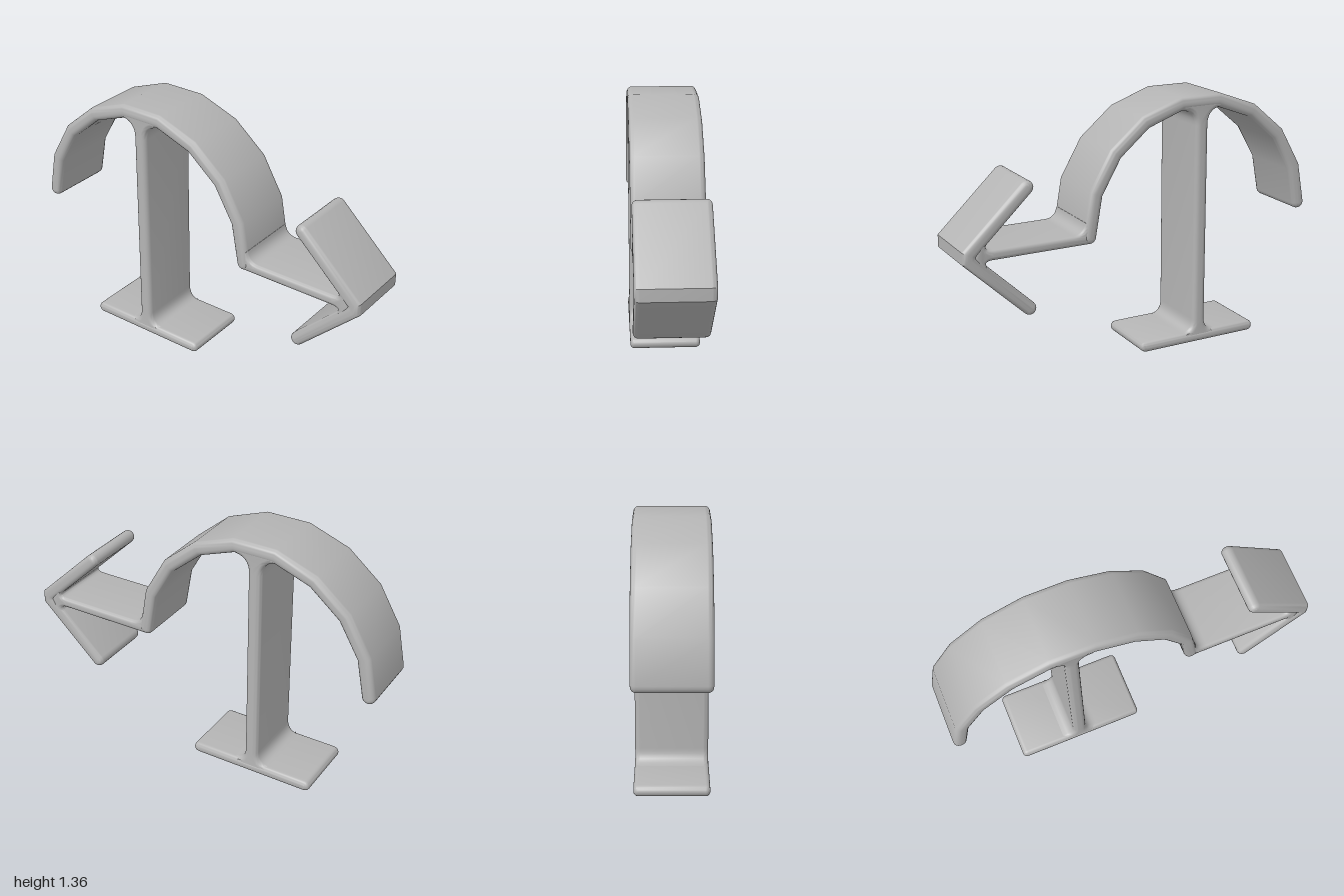
import * as THREE from 'three';
import { toCreasedNormals } from 'three/addons/utils/BufferGeometryUtils.js';

const grey = new THREE.MeshStandardMaterial({ color: 0xb4b4b4 });
grey.name = 'plain grey';

// Extrudes an outline along z with softly rounded rims
function plate(name, shape, halfDepth, rim) {
  const raw = new THREE.ExtrudeGeometry(shape, {
    depth: 2 * (halfDepth - rim), curveSegments: 8,
    bevelThickness: rim, bevelSize: rim, bevelOffset: -rim, bevelSegments: 5,
  });
  raw.translate(0, 0, -(halfDepth - rim));
  const mesh = new THREE.Mesh(toCreasedNormals(raw, 0.7), grey);
  mesh.name = name;
  return mesh;
}

// Outline of a bar of even thickness that follows a centreline, with round ends
function barOutline(line, half) {
  const n = line.length;
  const dir = (i) => line[i + 1].clone().sub(line[i]).normalize();
  const side = (sign) => line.map((p, i) => {
    const a = dir(Math.max(i - 1, 0)), b = dir(Math.min(i, n - 2));
    const na = new THREE.Vector2(-a.y, a.x), nb = new THREE.Vector2(-b.y, b.x);
    const m = na.add(nb);
    return p.clone().addScaledVector(m, sign * 2 * half / m.lengthSq());
  });
  const cap = (p, d) => {
    const start = Math.atan2(d.y, d.x) - Math.PI / 2, pts = [];
    for (let k = 1; k < 8; k++) {
      const t = start + k * Math.PI / 8;
      pts.push(new THREE.Vector2(p.x + half * Math.cos(t), p.y + half * Math.sin(t)));
    }
    return pts;
  };
  return new THREE.Shape([
    ...side(-1), ...cap(line[n - 1], dir(n - 2)),
    ...side(1).reverse(), ...cap(line[0], dir(0).negate()),
  ]);
}

const V = (x, y) => new THREE.Vector2(x, y);

export function createModel() {
  const model = new THREE.Group();
  model.name = 'archAndArrowStand';

  // Arch: half ring in broad facets, flat at the crown
  const archLine = [];
  for (let deg = -90; deg <= 90; deg += 20) {
    const t = THREE.MathUtils.degToRad(deg);
    archLine.push(V(-0.325 + 0.643 * Math.sin(t), 0.69 + 0.643 * Math.cos(t)));
  }
  archLine[0].y = 0.702;
  model.add(plate('arch', barOutline(archLine, 0.036), 0.19, 0.028));

  // Post, flaring into the arch and the base
  const post = new THREE.Shape();
  const c = -0.333, w = 0.037;
  post.moveTo(c - 0.1, 0.03);
  post.lineTo(c + 0.1, 0.03);
  post.lineTo(c + 0.1, 0.058);
  post.quadraticCurveTo(c + w, 0.06, c + w, 0.13);
  post.lineTo(c + w, 1.2);
  post.quadraticCurveTo(c + w, 1.285, c + 0.13, 1.287);
  post.lineTo(c + 0.13, 1.325);
  post.lineTo(c - 0.13, 1.325);
  post.lineTo(c - 0.13, 1.287);
  post.quadraticCurveTo(c - w, 1.285, c - w, 1.2);
  post.lineTo(c - w, 0.13);
  post.quadraticCurveTo(c - w, 0.06, c - 0.1, 0.058);
  model.add(plate('post', post, 0.188, 0.026));

  // Base plate
  model.add(plate('base', barOutline([V(-0.652, 0.029), V(-0.008, 0.029)], 0.029), 0.19, 0.023));

  // Arrow shaft, rounded into the arch foot and the arrow head
  const shaft = new THREE.Shape();
  shaft.moveTo(0.325, 0.655);
  shaft.lineTo(0.84, 0.655);
  shaft.quadraticCurveTo(0.9, 0.655, 0.868, 0.62);
  shaft.lineTo(0.92, 0.62);
  shaft.lineTo(0.945, 0.683);
  shaft.lineTo(0.92, 0.746);
  shaft.lineTo(0.868, 0.746);
  shaft.quadraticCurveTo(0.9, 0.71, 0.84, 0.71);
  shaft.lineTo(0.41, 0.71);
  shaft.quadraticCurveTo(0.35, 0.71, 0.342, 0.77);
  shaft.lineTo(0.31, 0.77);
  shaft.lineTo(0.288, 0.69);
  shaft.quadraticCurveTo(0.285, 0.655, 0.325, 0.655);
  model.add(plate('arrowShaft', shaft, 0.184, 0.02));

  // Arrow head: two arms meeting in a blunted tip
  const head = [V(0.655, 0.995), V(0.965, 0.7), V(0.965, 0.666), V(0.655, 0.371)];
  model.add(plate('arrowHead', barOutline(head, 0.035), 0.19, 0.027));

  return model;
}
